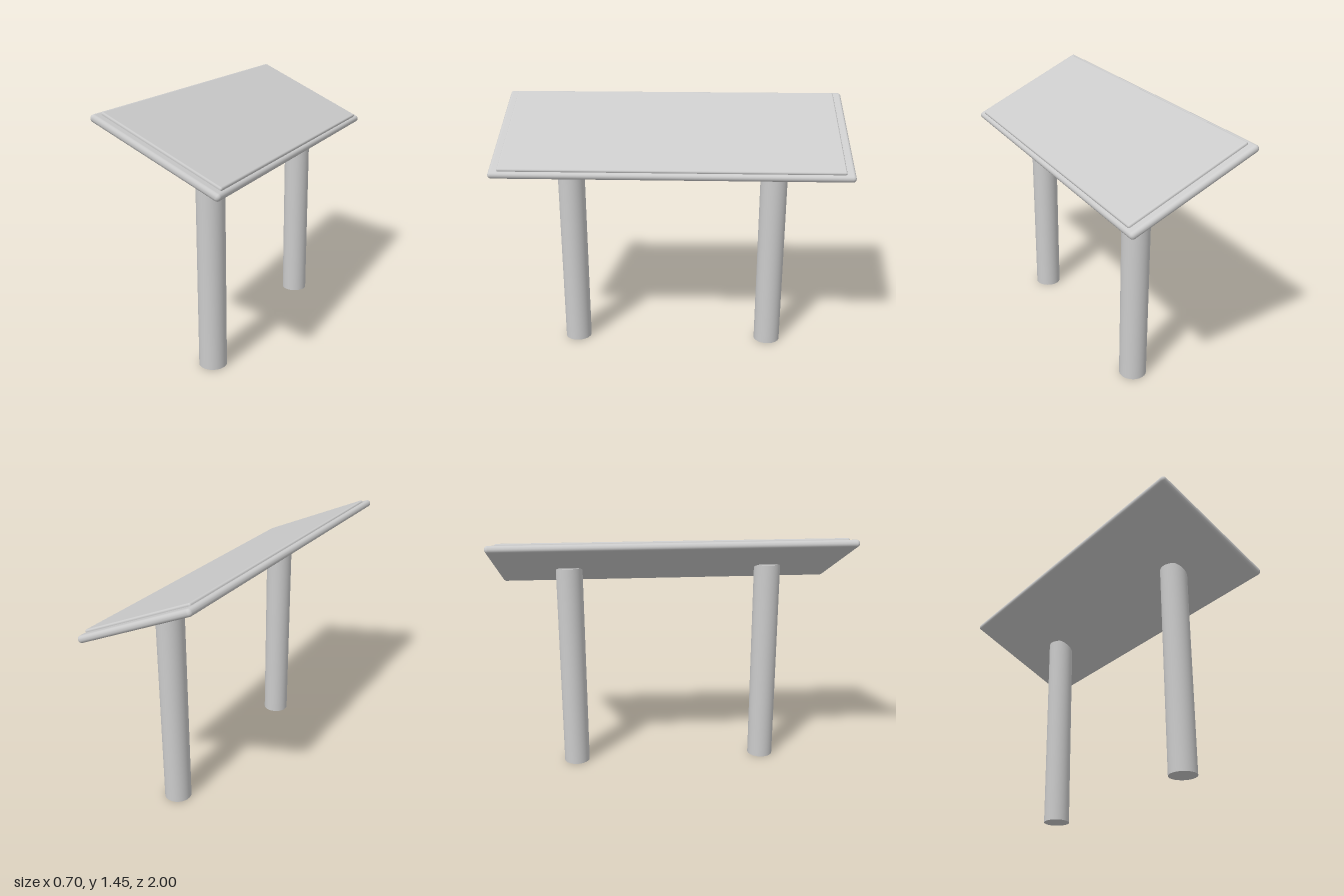
import * as THREE from 'three';
import { RoundedBoxGeometry } from 'three/addons/geometries/RoundedBoxGeometry.js';

const TILT = -0.43;
const BOARD_HEIGHT = 2.55 / 2;
const POST_HEIGHT = 1.24;
const POST_RADIUS = 0.31 / 4;
const POST_Z = 0.585;

export function createModel() {
  const model = new THREE.Group();
  model.name = 'informationBoard';
  const material = new THREE.MeshStandardMaterial({ color: 0xcccccc });

  const addPart = (parent, name, geometry, x, y, z) => {
    const mesh = new THREE.Mesh(geometry, material);
    mesh.name = name;
    mesh.position.set(x, y, z);
    parent.add(mesh);
    return mesh;
  };

  // Sloping top: round-edged backing board with a raised panel on it
  const top = new THREE.Group();
  top.name = 'slopingTop';
  top.position.y = BOARD_HEIGHT;
  top.rotation.z = TILT;
  model.add(top);
  addPart(top, 'backingBoard', new RoundedBoxGeometry(0.77, 0.04, 2, 5, 0.019), 0, 0, 0);
  addPart(top, 'displayPanel', new RoundedBoxGeometry(0.72, 0.04, 1.9, 4, 0.01), 0, 0.014, 0);

  // Two round posts, their flat tops hidden inside the board
  const post = new THREE.CylinderGeometry(POST_RADIUS, POST_RADIUS, POST_HEIGHT, 48);
  addPart(model, 'frontPost', post, POST_RADIUS, POST_HEIGHT / 2, POST_Z);
  addPart(model, 'backPost', post, POST_RADIUS, POST_HEIGHT / 2, -POST_Z);

  return model;
}
